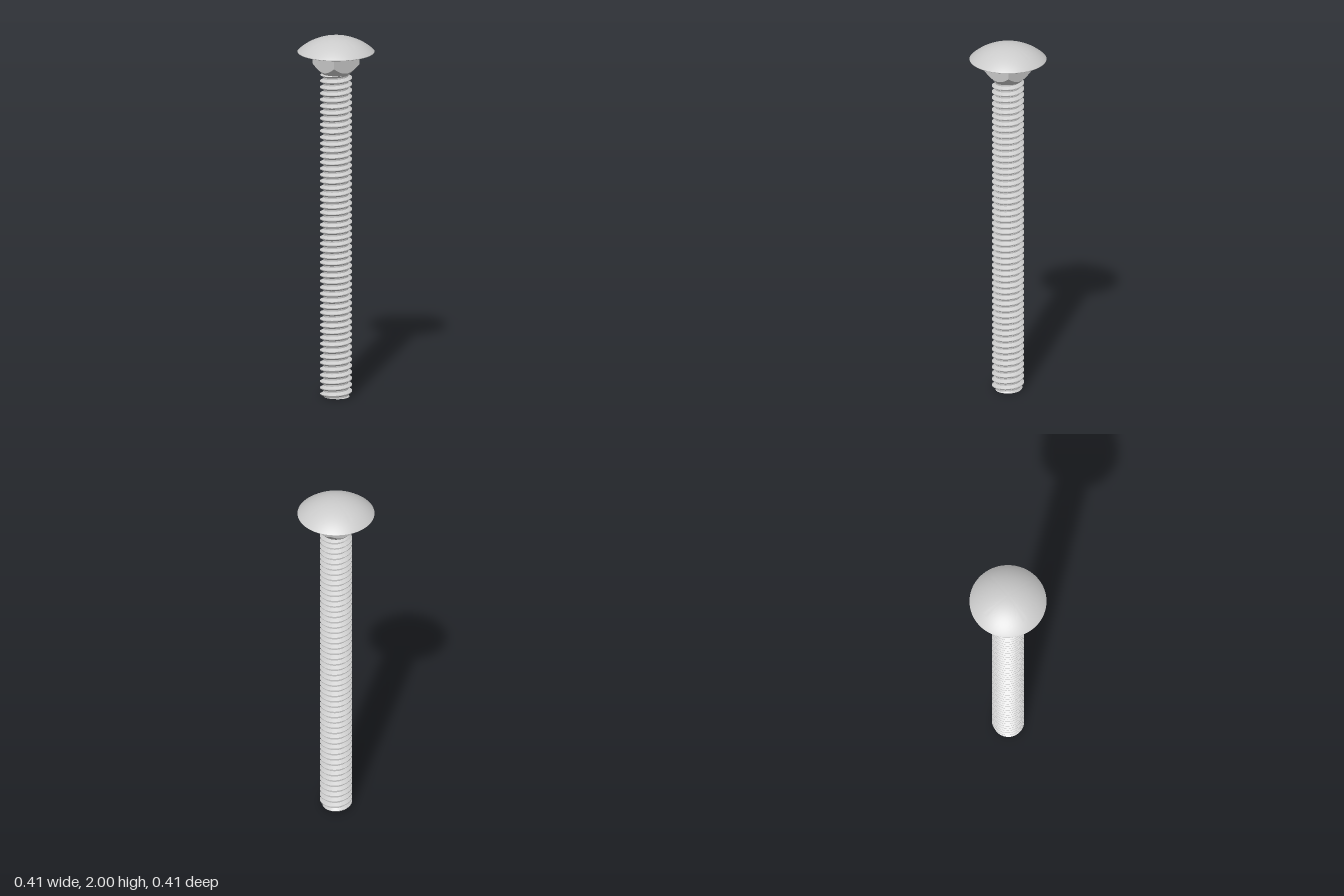
import * as THREE from 'three';
import { toCreasedNormals } from 'three/addons/utils/BufferGeometryUtils.js';

const PITCH = 0.0348, MAJOR = 0.087, MINOR = 0.067;
const HEAD_Y = 1.913, NECK_Y = 1.793, SEG = 64;

// Surface from rows of points around the y axis; point(row, angle) gives [radius, y]
function ringSurface(rows, segments, point, crease) {
  const positions = [], indices = [];
  for (let i = 0; i < rows; i++) {
    for (let j = 0; j <= segments; j++) {
      const a = (j % segments) / segments * Math.PI * 2;
      const [r, y] = point(i, j / segments * Math.PI * 2);
      positions.push(r * Math.cos(a), y, -r * Math.sin(a));
      if (i && j) {
        const d = i * (segments + 1) + j, c = d - 1;
        const b = d - segments - 1, e = b - 1;
        indices.push(e, b, d, e, d, c);
      }
    }
  }
  const geometry = new THREE.BufferGeometry();
  geometry.setAttribute('position', new THREE.Float32BufferAttribute(positions, 3));
  geometry.setIndex(indices);
  return toCreasedNormals(geometry, crease);
}

// Thread radius at a phase of one turn: crest flat, flank, root flat, flank
function threadRadius(phase) {
  const t = phase - Math.floor(phase);
  const d = Math.min(t, 1 - t);
  const k = THREE.MathUtils.clamp((d - 0.0625) / 0.3125, 0, 1);
  return THREE.MathUtils.lerp(MAJOR, MINOR, k);
}

function threadGeometry() {
  const stops = [-0.0625, 0.0625, 0.375, 0.625];
  const top = NECK_Y + 0.005;
  const turns = Math.ceil(top / PITCH) + 3;
  return ringSurface(turns * 4 + 1, SEG, (i, angle) => {
    if (i === 0) return [0, 0]; // centre of the end cap
    const k = i - 1;
    const turn = angle / (Math.PI * 2);
    const raw = (Math.floor(k / 4) - 2 + stops[k % 4] + turn) * PITCH;
    const y = THREE.MathUtils.clamp(raw, 0, top);
    // chamfer at the tip, run-out below the neck
    const limit = Math.min(0.073 + y * 0.8, 0.076 + (top - y) * 0.8);
    return [Math.min(threadRadius(y / PITCH - turn), limit), y];
  }, 0.5);
}

// Square neck whose lower corners are trimmed by a cone
function neckGeometry() {
  const half = 0.0905, root = 0.072;
  return ringSurface(4, SEG, (i, a) => {
    const r = half / Math.max(Math.abs(Math.cos(a)), Math.abs(Math.sin(a)));
    return [[0, NECK_Y], [root, NECK_Y], [r, NECK_Y + r - root], [r, HEAD_Y + 0.002]][i];
  }, 0.6);
}

// Shallow spherical dome with a thin rounded rim and flat underside
function headGeometry() {
  const edge = 0.2055, rimY = HEAD_Y + 0.007, rise = 2 - rimY;
  const R = (edge * edge + rise * rise) / (2 * rise);
  const profile = [[0, HEAD_Y], [0.2, HEAD_Y], [0.205, HEAD_Y + 0.001], [0.2075, HEAD_Y + 0.003], [0.2075, HEAD_Y + 0.005]];
  const sweep = Math.asin(edge / R);
  for (let i = 0; i <= 16; i++) {
    const a = sweep * (1 - i / 16);
    profile.push([R * Math.sin(a), 2 - R + R * Math.cos(a)]);
  }
  return ringSurface(profile.length, 96, (i) => profile[i], 0.6);
}

export function createModel() {
  const group = new THREE.Group();
  group.name = 'carriageBolt';
  const material = new THREE.MeshStandardMaterial({ color: 0xcccccc });
  const parts = { domedHead: headGeometry(), squareNeck: neckGeometry(), threadedShank: threadGeometry() };
  for (const [name, geometry] of Object.entries(parts)) {
    const mesh = new THREE.Mesh(geometry, material);
    mesh.name = name;
    group.add(mesh);
  }
  return group;
}
